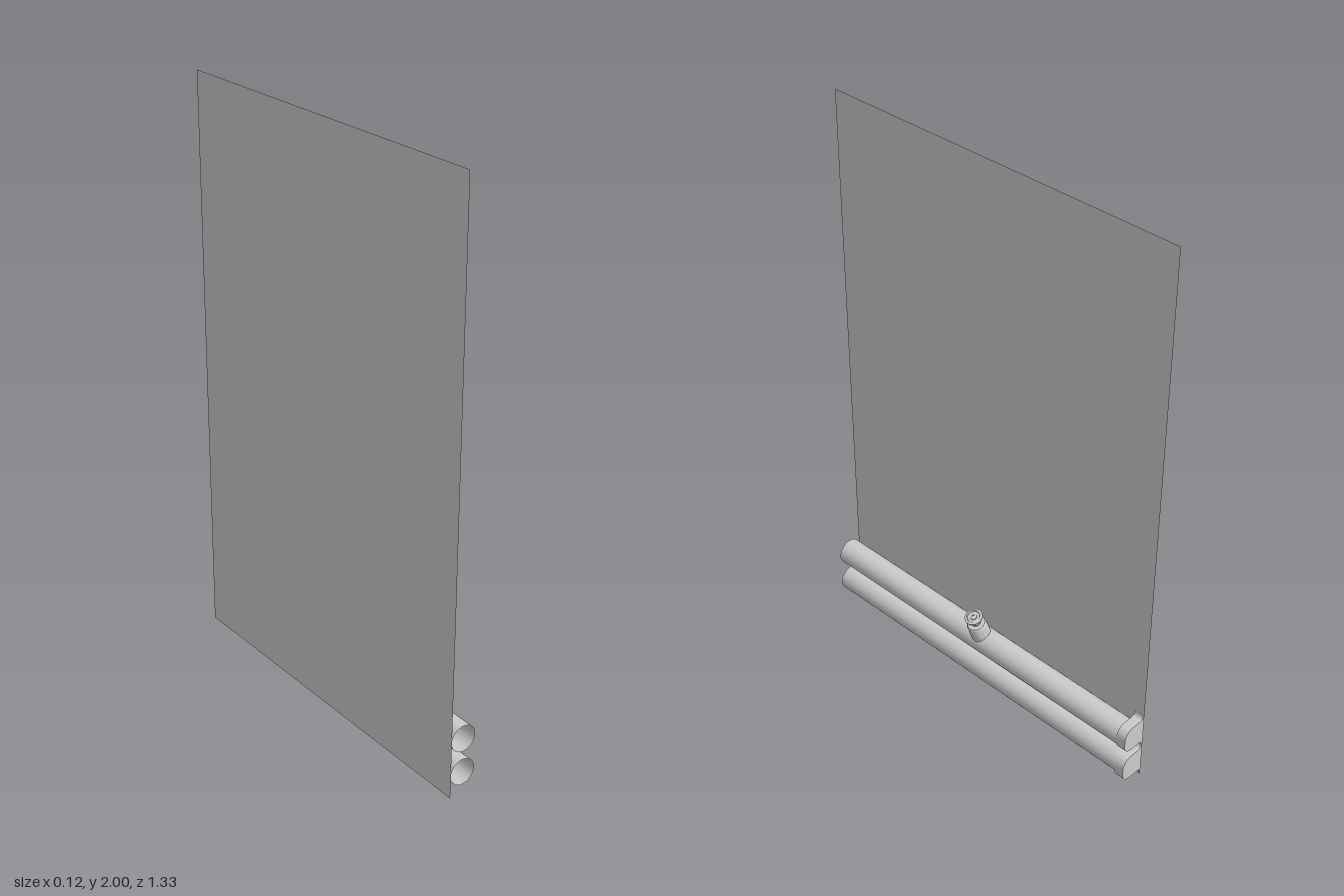
import * as THREE from 'three';
import { toCreasedNormals } from 'three/addons/utils/BufferGeometryUtils.js';

const HALF = 0.667;      // half length of wall and pipes
const WALL_X = -0.061;
const PIPE_X = -0.015;
const PIPE_R = 0.046;

const grey = new THREE.MeshStandardMaterial({ color: 0xcccccc });
const thin = new THREE.MeshStandardMaterial({ color: 0xcccccc, side: THREE.DoubleSide });

function add(parent, name, geometry, material = grey) {
  const mesh = new THREE.Mesh(geometry, material);
  mesh.name = name;
  parent.add(mesh);
  return mesh;
}

function lathe(points) {
  const profile = points.map(([r, y]) => new THREE.Vector2(r, y));
  return toCreasedNormals(new THREE.LatheGeometry(profile, 40), 0.6);
}

// D-shaped end bracket with two thin flanges against the wall
function bracketGeometry() {
  const w = WALL_X, f = 0.031, h = 0.049, r = 0.034, flange = 0.062, t = 0.005;
  const s = new THREE.Shape();
  s.moveTo(w, -flange);
  s.lineTo(w + t, -flange);
  s.quadraticCurveTo(w + t, -h, w + 0.02, -h);
  s.lineTo(f - r, -h);
  s.quadraticCurveTo(f - 0.004, -h + 0.004, f, -h + r);
  s.lineTo(f, h - r);
  s.quadraticCurveTo(f - 0.004, h - 0.004, f - r, h);
  s.lineTo(w + 0.02, h);
  s.quadraticCurveTo(w + t, h, w + t, flange);
  s.lineTo(w, flange);
  s.closePath();
  const g = new THREE.ExtrudeGeometry(s, { depth: 0.035, bevelEnabled: false, curveSegments: 10 });
  return toCreasedNormals(g, 0.6);
}

// Valve standing on the pipe axis, leaning away from the wall
function createValve() {
  const valve = new THREE.Group();
  valve.name = 'valve';
  add(valve, 'valveBody', lathe([
    [0, 0.012], [0.034, 0.012], [0.034, 0.098], [0.03, 0.104], [0.018, 0.104], [0, 0.104],
  ]));
  add(valve, 'valveStem', lathe([
    [0.016, 0.103], [0.016, 0.11], [0.009, 0.113], [0.009, 0.126], [0.014, 0.135],
  ]));
  add(valve, 'handWheel', lathe([
    [0, 0.134], [0.028, 0.134], [0.031, 0.136], [0.031, 0.141], [0.028, 0.143],
    [0.023, 0.143], [0.021, 0.14], [0.012, 0.14], [0.012, 0.144], [0.006, 0.144],
    [0.006, 0.14], [0, 0.14],
  ]));
  return valve;
}

export function createModel() {
  const model = new THREE.Group();
  model.name = 'wallWithPipes';

  // Wall sheet facing the pipes
  const wall = add(model, 'wallPanel', new THREE.PlaneGeometry(2 * HALF, 2), thin);
  wall.rotation.y = Math.PI / 2;
  wall.position.set(WALL_X, 1, 0);

  // Two open pipes, each held by a bracket at the back end
  const pipeGeometry = new THREE.CylinderGeometry(PIPE_R, PIPE_R, 2 * HALF - 0.004, 48, 1, true);
  const bracket = bracketGeometry();
  [['lower', 0.08, 0.076], ['upper', 0.202, 0.206]].forEach(([level, y, bracketY]) => {
    const pipe = add(model, level + 'Pipe', pipeGeometry, thin);
    pipe.rotation.x = Math.PI / 2;
    pipe.position.set(PIPE_X, y, 0.002);
    add(model, level + 'Bracket', bracket).position.set(0, bracketY, -HALF);
  });

  // Valve in the middle of the upper pipe
  const valve = createValve();
  valve.position.set(PIPE_X, 0.202, 0);
  valve.rotation.z = -0.35;
  model.add(valve);

  return model;
}
